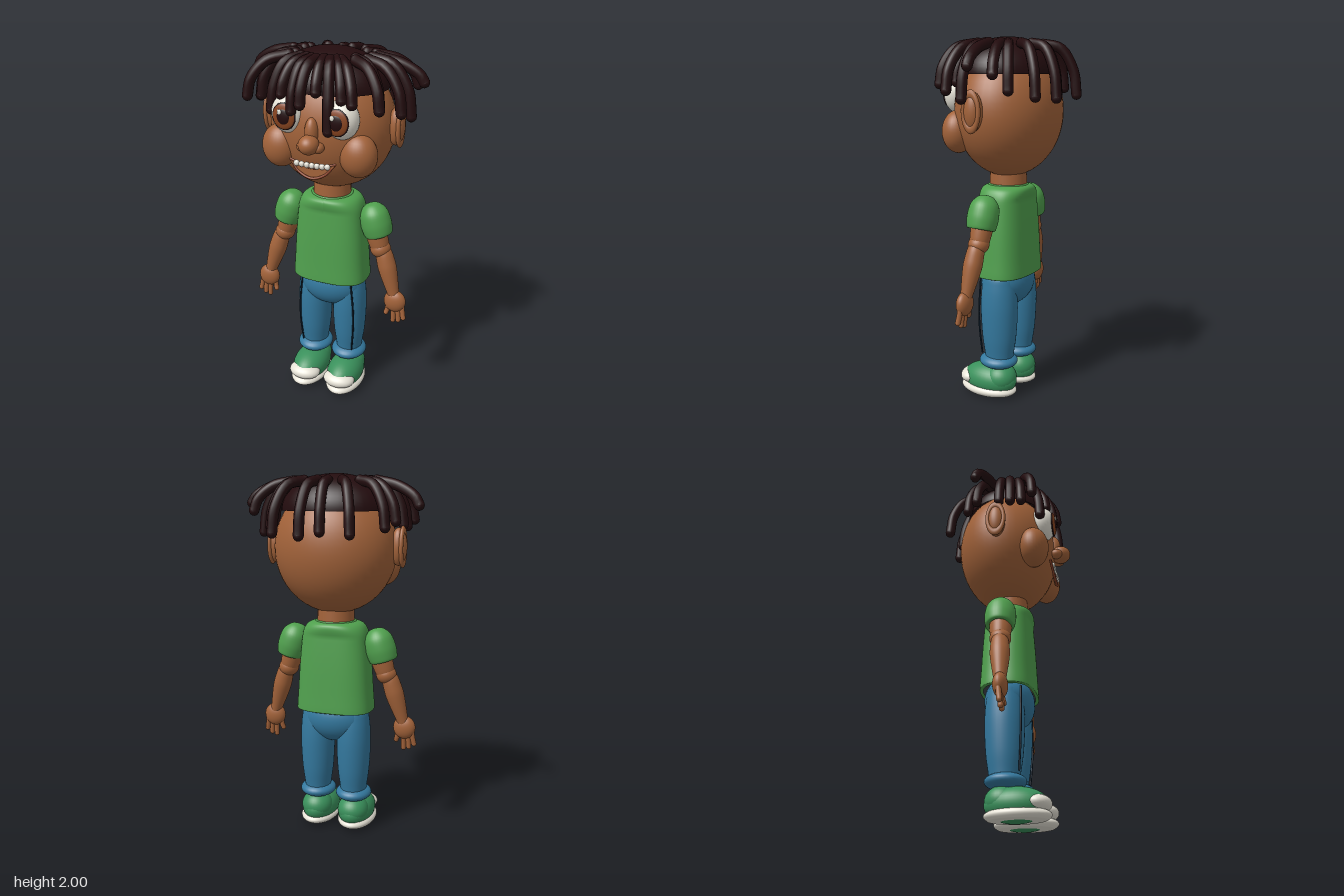
import * as THREE from 'three';

const mat = (name, color) => {
  const m = new THREE.MeshStandardMaterial({ color });
  m.name = name;
  return m;
};
const V = (x, y, z) => new THREE.Vector3(x, y, z);

export function createModel() {
  const skin = mat('skin', 0xa3633a), shirt = mat('shirt green', 0x50a04e);
  const denim = mat('denim blue', 0x34799f), seam = mat('seam navy', 0x14283a);
  const shoe = mat('shoe green', 0x3a915c), white = mat('off white', 0xe8e4d8);
  const hair = mat('dark hair', 0x230c0e), iris = mat('iris brown', 0x8a4520);
  const lip = mat('lip brown', 0x8a4228);

  const model = new THREE.Group();
  model.name = 'standingBoy';

  const add = (name, geometry, material, parent = model) => {
    const m = new THREE.Mesh(geometry, material);
    m.name = name;
    parent.add(m);
    return m;
  };
  const group = (name) => {
    const g = new THREE.Group();
    g.name = name;
    model.add(g);
    return g;
  };
  // Ellipsoid from a centre and three radii
  const ball = (name, material, c, r, parent, seg = 32) => {
    const m = add(name, new THREE.SphereGeometry(1, seg, Math.ceil(seg * 0.6)), material, parent);
    m.position.set(...c);
    m.scale.set(...r);
    return m;
  };
  const lathe = (pts, seg = 32) => new THREE.LatheGeometry(
    new THREE.SplineCurve(pts.map(p => new THREE.Vector2(...p))).getPoints(pts.length * 4)
      .map(p => new THREE.Vector2(Math.max(p.x, 0), p.y)), seg);
  // Lathe whose y axis runs from a to b; heights are fractions of the length
  const limb = (name, material, a, b, pts, parent) => {
    const d = b.clone().sub(a), len = d.length();
    const m = add(name, lathe(pts.map(([r, t]) => [r, t * len])), material, parent);
    m.position.copy(a);
    m.quaternion.setFromUnitVectors(V(0, 1, 0), d.normalize());
    return m;
  };
  // Round-ended tube through points
  const rope = (name, material, pts, r, parent, seg = 14) => {
    const c = new THREE.CatmullRomCurve3(pts);
    add(name, new THREE.TubeGeometry(c, seg, r, 12), material, parent);
    for (const p of [pts[0], pts[pts.length - 1]])
      ball(name + 'End', material, p.toArray(), [r, r, r], parent, 12);
  };

  // Head and neck
  const head = group('head');
  ball('skull', skin, [0, 1.6, -0.008], [0.338, 0.35, 0.28], head, 48);
  add('neck', new THREE.CylinderGeometry(0.1, 0.105, 0.14, 32), skin, head).position.y = 1.23;
  ball('noseTip', skin, [0, 1.567, 0.305], [0.053, 0.05, 0.056], head);
  ball('noseBridge', skin, [0, 1.62, 0.265], [0.036, 0.075, 0.04], head);
  for (const s of [1, -1]) {
    ball('nostril', skin, [s * 0.043, 1.55, 0.285], [0.03, 0.028, 0.035], head, 20);
    ball('cheek', skin, [s * 0.215, 1.5, 0.18], [0.1, 0.115, 0.085], head);
    ball('ear', skin, [s * 0.35, 1.615, -0.003], [0.045, 0.1, 0.05], head);
    const rim = add('earRim', new THREE.TorusGeometry(0.045, 0.012, 12, 32), skin, head);
    rim.position.set(s * 0.373, 1.615, -0.003);
    rim.rotation.y = Math.PI / 2;
    rim.scale.set(1, 1.95, 1);
    ball('eyeWhite', white, [s * 0.145, 1.69, 0.225], [0.088, 0.1, 0.073], head);
    const x = s * 0.14;
    ball('irisRing', hair, [x, 1.69, 0.285], [0.064, 0.07, 0.012], head);
    ball('iris', iris, [x, 1.69, 0.288], [0.059, 0.065, 0.013], head);
    ball('pupil', hair, [x, 1.69, 0.295], [0.036, 0.041, 0.01], head);
    ball('eyeGlint', white, [x - 0.018, 1.715, 0.302], [0.012, 0.014, 0.005], head, 16);
  }

  // Smiling mouth: open crescent plate, lip lines and a row of teeth
  const mouth = group('mouth');
  const crescent = new THREE.Shape();
  crescent.moveTo(-0.122, 1.462);
  crescent.quadraticCurveTo(0, 1.41, 0.122, 1.462);
  crescent.quadraticCurveTo(0.06, 1.375, 0, 1.378);
  crescent.quadraticCurveTo(-0.06, 1.375, -0.122, 1.462);
  add('mouthPlate', new THREE.ExtrudeGeometry(crescent,
    { depth: 0.008, bevelEnabled: false, curveSegments: 16 }), skin, mouth).position.z = 0.262;
  rope('lowerLip', lip, [V(-0.122, 1.465, 0.26), V(-0.07, 1.405, 0.27), V(0, 1.38, 0.275),
    V(0.07, 1.405, 0.27), V(0.122, 1.465, 0.26)], 0.007, mouth, 30);
  rope('upperLip', lip, [V(-0.122, 1.465, 0.26), V(0, 1.434, 0.268), V(0.122, 1.465, 0.26)], 0.006, mouth, 24);
  for (let i = 0; i < 7; i++) {
    const x = (i - 3) * 0.028;
    ball('tooth', white, [x, 1.447 + x * x * 0.5, 0.27], [0.016, 0.016, 0.012], mouth, 16);
  }

  // Hair: cap plus drooping locks given as tip positions
  const locks = group('hair');
  add('hairCap', new THREE.SphereGeometry(1, 40, 16, 0, Math.PI * 2, 0, Math.PI / 2), hair, locks);
  locks.children[0].position.set(0, 1.8, 0);
  locks.children[0].scale.set(0.3, 0.195, 0.245);
  hair.side = THREE.DoubleSide;
  const tips = [
    [-0.475, 1.83, -0.095], [-0.36, 1.75, -0.115], [-0.32, 1.72, -0.175], [-0.18, 1.69, -0.32],
    [-0.01, 1.7, -0.29], [0.085, 1.68, -0.335], [0.245, 1.69, -0.3], [0.305, 1.72, -0.18],
    [0.41, 1.8, -0.155], [0.47, 1.84, -0.05], [0.43, 1.68, 0.015], [0.41, 1.72, 0.12],
    [0.33, 1.75, 0.215], [0.21, 1.78, 0.265], [0.095, 1.64, 0.285], [0.15, 1.79, 0.25],
    [-0.05, 1.76, 0.295], [-0.105, 1.72, 0.28], [-0.17, 1.79, 0.25], [-0.24, 1.7, 0.225],
    [-0.385, 1.75, 0.205], [-0.375, 1.72, 0.08], [-0.37, 1.73, 0.015], [-0.34, 1.74, 0.135],
    [0.3, 1.76, 0.13], [0.02, 1.82, 0.26]];
  for (const [x, y, z] of tips) {
    const q = 1 - Math.max(0, Math.hypot(x, z) - 0.3) * 0.25;
    rope('lock', hair, [V(x * 0.5, 1.955, z * 0.5), V(x * 0.76, 1.935 * (0.9 + 0.1 * q), z * 0.76),
      V(x * 0.95, y * 0.4 + 1.9 * 0.6, z * 0.95), V(x, y, z)], 0.028, locks);
  }

  // Shirt body: lathe squared off into a rounded box section
  const top = group('shirt');
  const body = lathe([[0.19, 0.705], [0.213, 0.703], [0.216, 0.72], [0.21, 0.8], [0.2, 0.95],
    [0.188, 1.08], [0.178, 1.15], [0.155, 1.19], [0.115, 1.205], [0.1, 1.2]], 64);
  const p = body.attributes.position;
  for (let i = 0; i < p.count; i++) {
    const x = p.getX(i), z = p.getZ(i), y = p.getY(i), r = Math.hypot(x, z);
    const square = THREE.MathUtils.clamp((1.21 - y) / 0.08, 0, 1);
    const n = 2 + 0.9 * square;
    const k = r / Math.pow(Math.abs(x) ** n + Math.abs(z) ** n, 1 / n);
    p.setXYZ(i, x * k, y, z * k * (0.9 - 0.21 * square));
  }
  body.computeVertexNormals();
  add('shirtBody', body, shirt, top);
  const collar = add('collar', new THREE.TorusGeometry(0.107, 0.01, 10, 40), shirt, top);
  collar.rotation.x = Math.PI / 2;
  collar.position.y = 1.2;
  collar.scale.y = 0.95;

  // Arms, hands and sleeves
  for (const s of [1, -1]) {
    const arm = group(s > 0 ? 'leftArm' : 'rightArm');
    limb('sleeve', shirt, V(s * 0.277, 0.995, 0.004), V(s * 0.225, 1.172, 0),
      [[0.055, 0.01], [0.074, 0], [0.082, 0.15], [0.085, 0.4], [0.075, 0.72], [0.04, 0.95], [0, 1]], arm);
    limb('upperArm', skin, V(s * 0.3, 0.88, 0.01), V(s * 0.24, 1.07, 0.004),
      [[0, 0], [0.045, 0.15], [0.058, 0.5], [0.06, 1]], arm);
    ball('elbow', skin, [s * 0.29, 0.915, 0.01], [0.057, 0.052, 0.057], arm);
    limb('forearm', skin, V(s * 0.392, 0.62, 0.032), V(s * 0.3, 0.93, 0.01),
      [[0.028, 0], [0.034, 0.15], [0.049, 0.5], [0.051, 0.7], [0.04, 0.93], [0, 1]], arm);
    ball('palm', skin, [s * 0.392, 0.613, 0.034], [0.063, 0.066, 0.038], arm);
    const fingers = [[0.435, 0.447, 0.505], [0.41, 0.418, 0.485], [0.385, 0.388, 0.478], [0.355, 0.345, 0.52]];
    for (const [x0, x1, y1] of fingers)
      rope('finger', skin, [V(s * x0, 0.59, 0.034), V(s * (x0 + x1) / 2, 0.55, 0.038),
        V(s * x1, y1 + 0.014, 0.042)], 0.0145, arm, 8);
  }

  // Trousers
  const trousers = group('trousers');
  ball('hips', denim, [0, 0.655, 0], [0.192, 0.145, 0.135], trousers, 40);
  for (const s of [1, -1]) {
    const leg = add('trouserLeg', lathe([[0.07, 0.2], [0.076, 0.25], [0.088, 0.34], [0.095, 0.45],
      [0.096, 0.55], [0.088, 0.65], [0.07, 0.71], [0, 0.725]]), denim, trousers);
    leg.position.set(s * 0.108, 0, -0.005);
    leg.scale.z = 1.1;
    ball('cuff', denim, [s * 0.108, 0.205, 0], [0.102, 0.045, 0.11], trousers);
    rope('legSeam', seam, [V(s * 0.148, 0.7, 0.09), V(s * 0.165, 0.52, 0.092),
      V(s * 0.166, 0.4, 0.09), V(s * 0.155, 0.25, 0.08)], 0.005, trousers);

    // Shoes
    const foot = group(s > 0 ? 'leftShoe' : 'rightShoe');
    const sole = add('sole', lathe([[0, 0.005], [0.08, 0.005], [0.098, 0.012], [0.108, 0.03],
      [0.1, 0.048], [0.08, 0.055], [0, 0.055]], 40), white, foot);
    sole.position.set(s * 0.113, 0, 0.062);
    sole.scale.z = 1.6;
    ball('shoeUpper', shoe, [s * 0.11, 0.085, 0.055], [0.103, 0.092, 0.165], foot);
    ball('heel', shoe, [s * 0.11, 0.105, -0.015], [0.09, 0.08, 0.092], foot);
    ball('toeCap', white, [s * 0.11, 0.087, 0.165], [0.094, 0.045, 0.07], foot);
  }

  return model;
}
